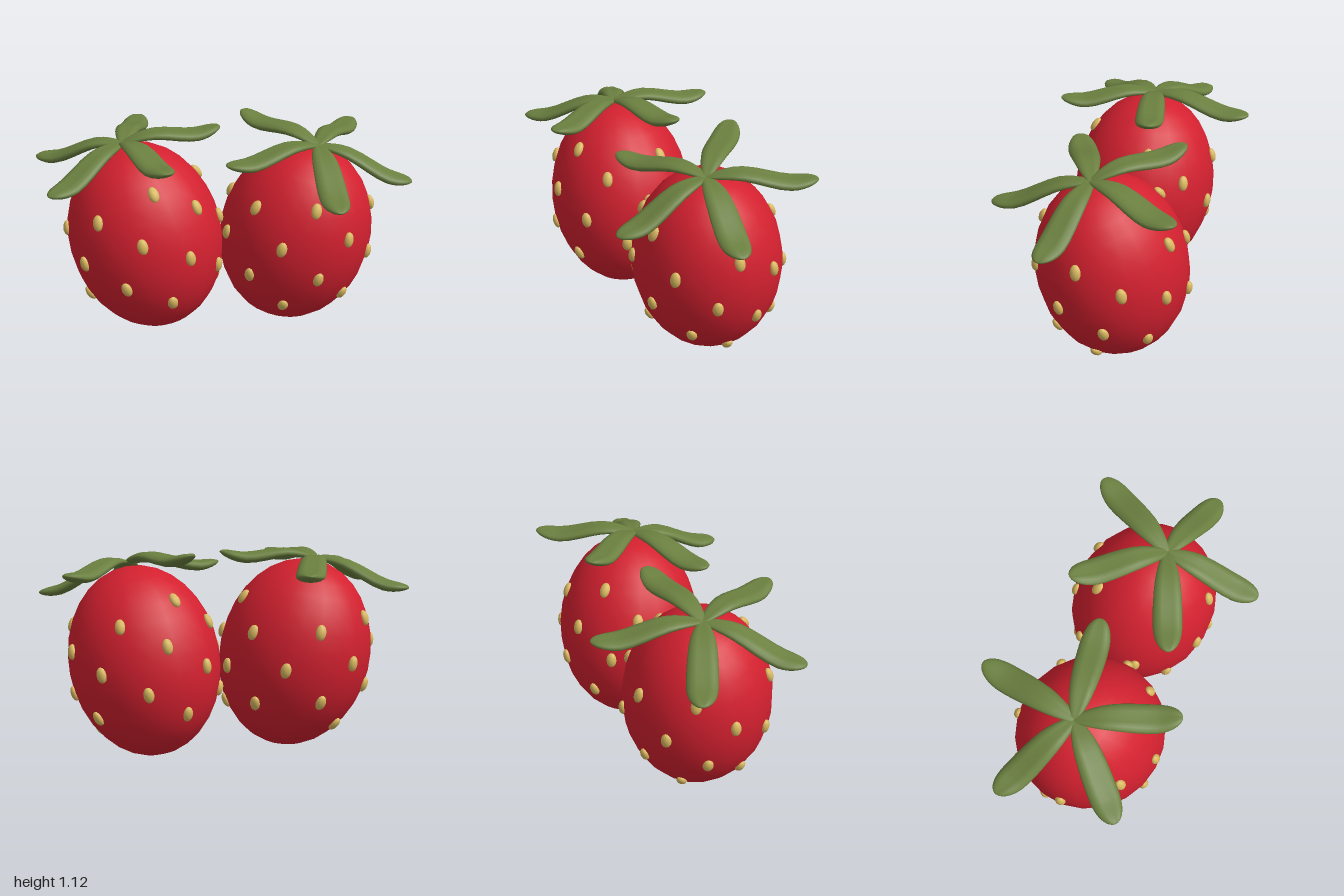
import * as THREE from 'three';
import { mergeVertices } from 'three/addons/utils/BufferGeometryUtils.js';

const V = (x, y, z) => new THREE.Vector3(x, y, z);
const UP = V(0, 1, 0);
const SIZE = V(0.41, 0.518, 0.388); // berry radii

const mat = (name, color) => {
  const m = new THREE.MeshStandardMaterial({ color });
  m.name = name;
  return m;
};

// Leaf: a sphere swept along a gently S-shaped curve, flattened, with a midrib groove
function leafGeometry(hub, tip) {
  const along = (t, lift) => hub.clone().lerp(tip, t).add(V(0, lift, 0));
  const curve = new THREE.CatmullRomCurve3([
    along(-0.04, -0.01), along(0.3, 0.015), along(0.75, -0.025), tip,
  ]);
  let geo = new THREE.SphereGeometry(1, 16, 18);
  geo.deleteAttribute('uv');
  geo.deleteAttribute('normal');
  geo = mergeVertices(geo, 1e-4);
  const pos = geo.attributes.position;
  for (let i = 0; i < pos.count; i++) {
    const p = V().fromBufferAttribute(pos, i);
    const t = Math.pow(THREE.MathUtils.clamp((1 + p.y) / 2, 0, 1), 0.75);
    const tangent = curve.getTangent(t);
    const side = tangent.clone().cross(UP).normalize();
    const normal = side.clone().cross(tangent);
    const groove = p.z > 0 ? 1 - 0.35 * Math.exp(-p.x * p.x * 30) : 1;
    const q = curve.getPoint(t)
      .addScaledVector(side, p.x * 0.076)
      .addScaledVector(normal, p.z * 0.03 * groove);
    pos.setXYZ(i, q.x, q.y, q.z);
  }
  geo.computeVertexNormals();
  return geo;
}

function strawberry(name, { center, axis, phase, hub, tips }, mats) {
  const berry = new THREE.Group();
  berry.name = name;

  // Fruit body, leaning along its axis
  const fruit = new THREE.Group();
  fruit.name = 'fruit';
  fruit.position.copy(center);
  fruit.quaternion.setFromUnitVectors(UP, axis.normalize());
  const body = new THREE.Mesh(new THREE.SphereGeometry(1, 22, 16), mats.red);
  body.name = 'body';
  body.scale.copy(SIZE);
  fruit.add(body);

  // Seeds on a golden-angle spiral
  const seedGeo = new THREE.SphereGeometry(1, 12, 8);
  for (let i = 0; i < 24; i++) {
    const y = 0.614 - 0.0544 * i;
    const r = Math.sqrt(1 - y * y);
    const a = THREE.MathUtils.degToRad(phase + 137.508 * i);
    const p = V(r * Math.cos(a), y, r * Math.sin(a)).multiply(SIZE);
    const out = p.clone().divide(SIZE).divide(SIZE).normalize();
    const side = UP.clone().cross(out).normalize();
    const seed = new THREE.Mesh(seedGeo, mats.seed);
    seed.name = 'seed';
    seed.position.copy(p);
    seed.scale.set(0.028, 0.042, 0.022);
    seed.quaternion.setFromRotationMatrix(
      new THREE.Matrix4().makeBasis(side, out.clone().cross(side), out));
    fruit.add(seed);
  }
  berry.add(fruit);

  // Leafy crown
  const crown = new THREE.Group();
  crown.name = 'crown';
  for (const tip of tips) {
    const leaf = new THREE.Mesh(leafGeometry(hub, V(...tip)), mats.green);
    leaf.name = 'leaf';
    crown.add(leaf);
  }
  berry.add(crown);
  return berry;
}

export function createModel() {
  const mats = {
    red: mat('berry red', 0xd3202f),
    green: mat('leaf green', 0x6b8040),
    seed: mat('seed yellow', 0xd8b860),
  };
  const model = new THREE.Group();
  model.name = 'strawberries';
  model.add(
    strawberry('rightStrawberry', {
      center: V(-0.39, 0.555, 0.132), axis: V(-0.11, 0.52, 0), phase: 57,
      hub: V(-0.5, 1.08, 0.13),
      tips: [[-1, 0.94, 0.03], [-0.54, 1.04, -0.42], [-0.02, 1.12, -0.08],
        [-0.17, 1.08, 0.54], [-0.76, 0.94, 0.585]],
    }, mats),
    strawberry('leftStrawberry', {
      center: V(0.39, 0.522, -0.113), axis: V(0.11, 0.52, 0.05), phase: 77,
      hub: V(0.5, 1.055, -0.06),
      tips: [[0.645, 1.03, -0.59], [0.06, 1.125, -0.35], [0.07, 1.03, 0.27],
        [0.655, 0.88, 0.43], [1, 0.87, -0.07]],
    }, mats),
  );
  return model;
}
